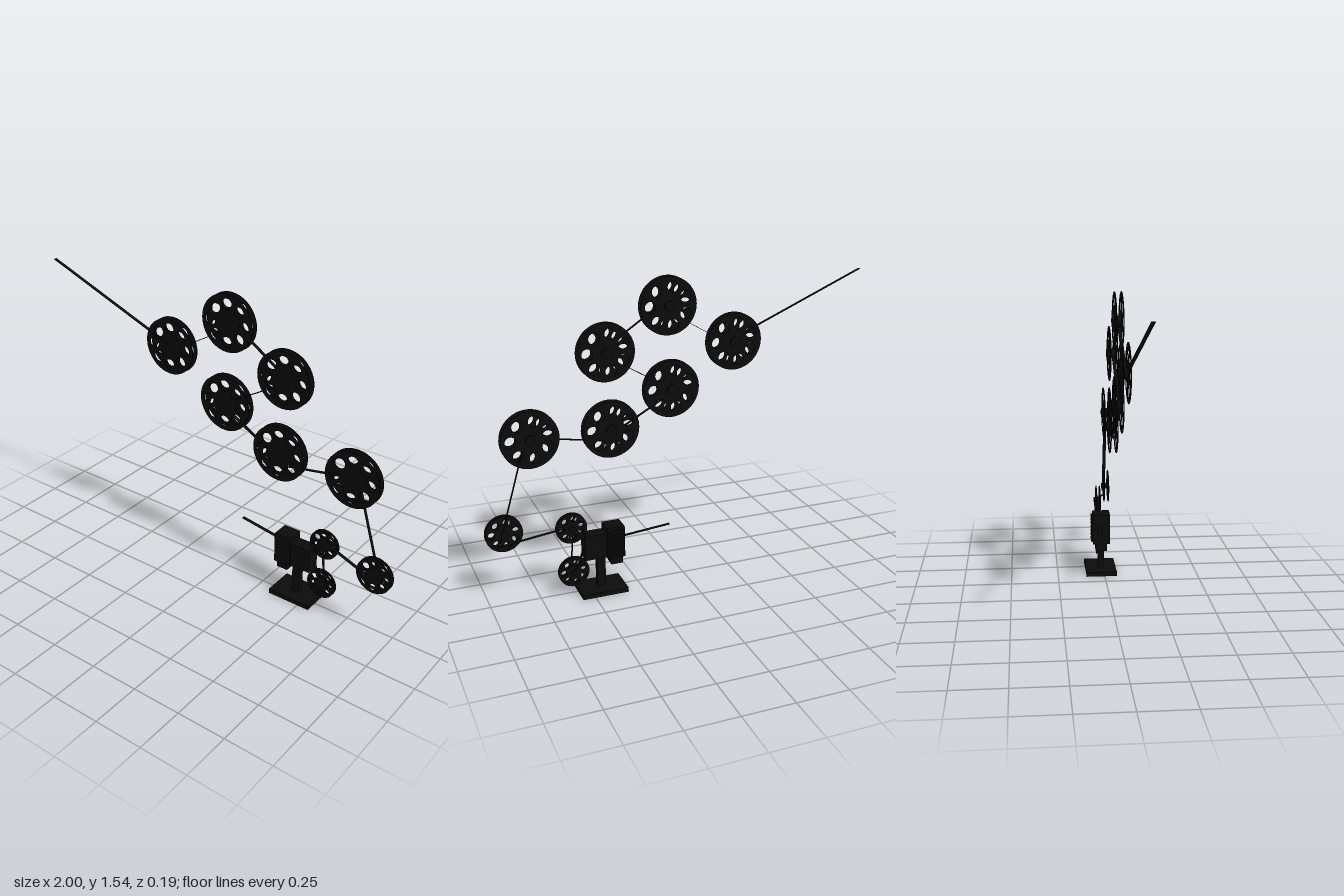
import * as THREE from 'three';

const black = new THREE.MeshStandardMaterial({ color: 0x0c0c0c, side: THREE.DoubleSide });

function add(parent, name, geometry, x = 0, y = 0, z = 0) {
  const mesh = new THREE.Mesh(geometry, black);
  mesh.name = name;
  mesh.position.set(x, y, z);
  parent.add(mesh);
  return mesh;
}

// Box given by its lower and upper corners
function block(parent, name, [x0, y0, z0], [x1, y1, z1]) {
  const g = new THREE.BoxGeometry(x1 - x0, y1 - y0, z1 - z0);
  return add(parent, name, g, (x0 + x1) / 2, (y0 + y1) / 2, (z0 + z1) / 2);
}

// Straight strip between two points; its width lies along z
function strip(parent, name, a, b, width = 0.018, thickness = 0.002) {
  const p = new THREE.Vector3(...a), q = new THREE.Vector3(...b);
  const dir = q.clone().sub(p);
  const xAxis = dir.clone().normalize();
  const yAxis = new THREE.Vector3(0, 0, 1).cross(xAxis).normalize();
  const zAxis = xAxis.clone().cross(yAxis);
  const mesh = add(parent, name, new THREE.BoxGeometry(dir.length(), thickness, width));
  mesh.quaternion.setFromRotationMatrix(new THREE.Matrix4().makeBasis(xAxis, yAxis, zAxis));
  mesh.position.copy(p.add(q).multiplyScalar(0.5));
  return mesh;
}

// Round plate with a ring of holes
function flange(r, holes, depth) {
  const shape = new THREE.Shape();
  shape.absarc(0, 0, r, 0, Math.PI * 2);
  for (let i = 0; i < holes; i++) {
    const a = (i / holes) * Math.PI * 2;
    const hole = new THREE.Path();
    hole.absarc(Math.cos(a) * r * 0.66, Math.sin(a) * r * 0.66, r * 0.19, 0, Math.PI * 2, true);
    shape.holes.push(hole);
  }
  return new THREE.ExtrudeGeometry(shape, { depth, bevelEnabled: false, curveSegments: 20 });
}

// Reel: two pierced flanges on a hub whose axle sticks out at the back
function reel(parent, name, x, y, r, zBack, zFront) {
  const g = new THREE.Group();
  g.name = name;
  g.position.set(x, y, 0);
  const t = 0.003;
  add(g, 'frontFlange', flange(r, 8, t), 0, 0, zFront - t);
  add(g, 'backFlange', flange(r, 7, t), 0, 0, zBack);
  const z0 = zBack - 0.012;
  const hub = new THREE.CylinderGeometry(r * 0.18, r * 0.18, zFront - z0, 24).rotateX(Math.PI / 2);
  add(g, 'hub', hub, 0, 0, (z0 + zFront) / 2);
  parent.add(g);
}

export function createModel() {
  const model = new THREE.Group();
  model.name = 'projectorWithReels';

  // Reels
  const big = [[-0.283, 1.19], [0.061, 1.396], [0.376, 1.199], [0.048, 0.985], [0.36, 0.817], [0.758, 0.817]];
  big.forEach(([x, y]) => reel(model, 'largeReel', x, y, 0.142, 0.025, 0.062));
  reel(model, 'mediumReel', 0.905, 0.355, 0.092, 0.037, 0.064);
  reel(model, 'smallReelUpper', 0.59, 0.358, 0.077, -0.029, -0.007);
  reel(model, 'smallReelLower', 0.585, 0.125, 0.077, -0.029, -0.007);

  // Film running from reel to reel
  const film = new THREE.Group();
  film.name = 'film';
  model.add(film);
  const runs = [
    [[-1, 1.49, 0.083], [-0.27, 1.19, 0.057]],
    [[-0.283, 1.164, 0.05], [0.061, 1.366, 0.05]],
    [[0.075, 1.415, 0.05], [0.39, 1.205, 0.05]],
    [[0.38, 1.18, 0.05], [0.048, 0.985, 0.05]],
    [[0.035, 0.962, 0.05], [0.36, 0.78, 0.05]],
    [[0.36, 0.752, 0.05], [0.775, 0.825, 0.046]],
    [[0.775, 0.835, 0.038], [0.925, 0.32, 0.037]],
    [[0.925, 0.295, 0.035], [0.6, 0.365, -0.02]],
    [[0.58, 0.35, -0.018], [0.6, 0.125, -0.018]],
    [[0.57, 0.125, -0.018], [0.53, 0.25, -0.022]],
    [[0.34, 0.277, -0.03], [0.09, 0.305, -0.04]],
  ];
  runs.forEach(([a, b]) => strip(film, 'filmRun', a, b));

  // Projector on its stand
  const body = new THREE.Group();
  body.name = 'projector';
  model.add(body);
  block(body, 'basePlate', [0.33, 0, -0.098], [0.563, 0.024, 0.065]);
  block(body, 'post', [0.425, 0.02, -0.03], [0.467, 0.2, 0.002]);
  block(body, 'lampHouse', [0.332, 0.18, -0.062], [0.422, 0.343, 0.028]);
  block(body, 'lowerBox', [0.34, 0.14, -0.048], [0.4, 0.185, 0.012]);
  block(body, 'mechanismBox', [0.42, 0.184, -0.05], [0.532, 0.312, 0.02]);

  // Cooling ribs on the back of the lamp house
  for (let i = 0; i < 7; i++) {
    const y = 0.192 + i * 0.021;
    block(body, 'rib', [0.338, y, -0.071], [0.416, y + 0.01, -0.06]);
  }

  // Arms carrying the small reels
  strip(body, 'upperArm', [0.51, 0.29, -0.036], [0.59, 0.358, -0.036], 0.008, 0.018);
  strip(body, 'lowerArm', [0.51, 0.21, -0.036], [0.585, 0.125, -0.036], 0.008, 0.018);

  return model;
}
